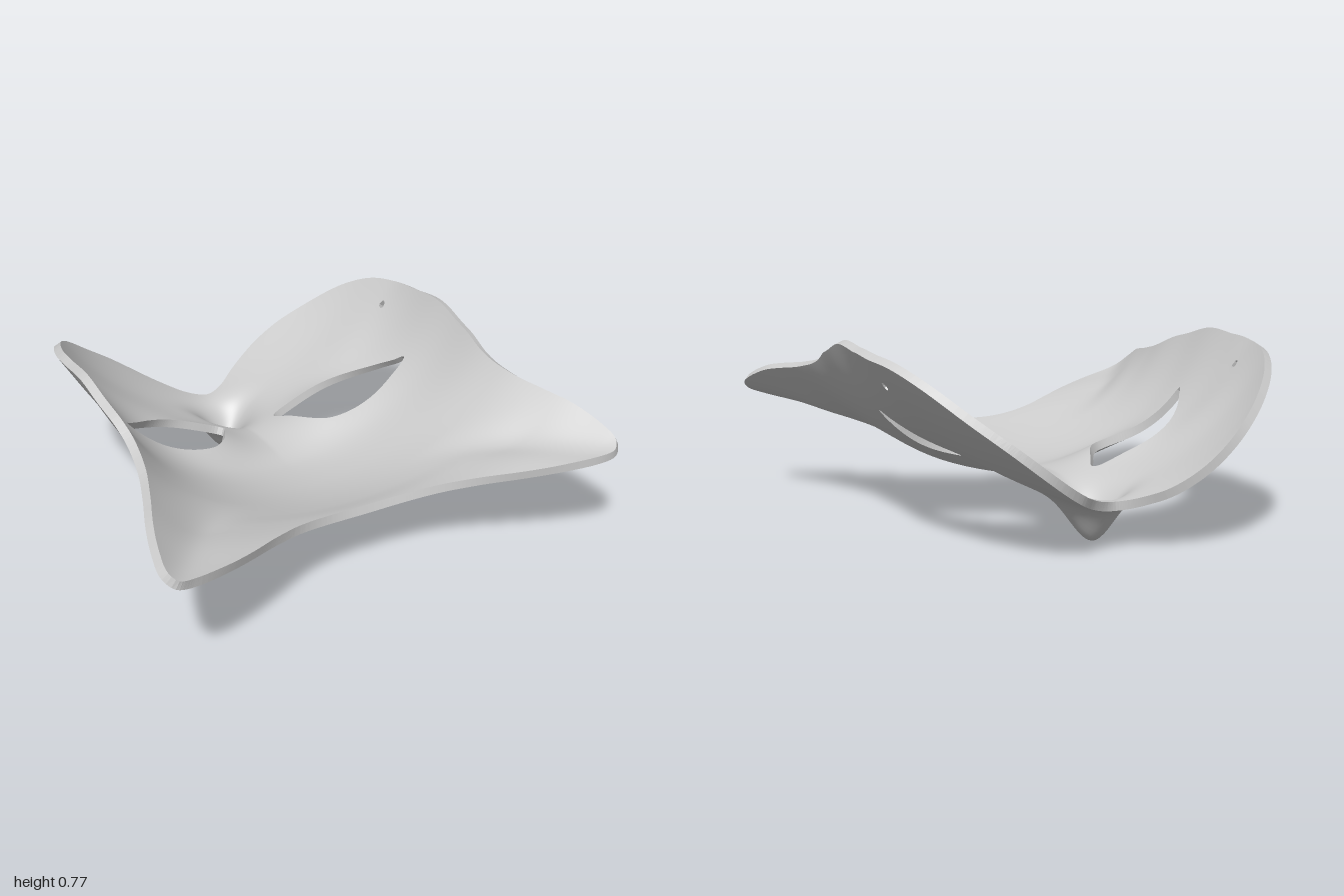
import * as THREE from 'three';

const THICKNESS = 0.035;
const STEP = 0.0133;

// Cross-section rows along z: [z, centre height, x^2 term, x^6 term, |x| term]
const ROWS = [
  [-0.97, 0.15, 0.5, 0.5, 0.4], [-0.85, 0.155, 0.5, 0.45, 0.295],
  [-0.7, 0.16, 0.53, 0.33, 0.19], [-0.5, 0.17, 0.55, 0.22, 0.115],
  [-0.35, 0.175, 0.52, 0.36, 0.06], [-0.15, 0.175, 0.52, 0.48, 0.01],
  [0, 0.165, 0.52, 0.48, 0], [0.2, 0.18, 0.48, 0.46, 0],
  [0.35, 0.208, 0.42, 0.33, 0], [0.5, 0.25, 0.33, 0.21, 0],
  [0.61, 0.29, 0.24, 0.17, 0], [0.75, 0.325, 0.17, 0.11, 0],
  [0.9, 0.343, 0.12, 0.08, 0], [0.98, 0.35, 0.11, 0.06, 0],
];
const section = new THREE.CubicInterpolant(
  new Float32Array(ROWS.map((r) => r[0])), new Float32Array(ROWS.flatMap((r) => r.slice(1))), 4);

const gauss = (d, s) => Math.exp(-(d * d) / (2 * s * s));

// Height of the underside (outer face) at a point of the plan
function height(x, z) {
  const [c, a, b, e] = section.evaluate(Math.min(0.979, Math.max(-0.969, z)));
  const ax = Math.abs(x);
  let y = c + a * x * x + b * x ** 6 + e * (Math.sqrt(x * x + 0.01) - 0.1);
  // nose: long bridge, steep underside
  const dz = z + 0.635;
  const width = dz > 0 ? 0.085 - 0.05 * Math.min(dz, 0.5) : 0.085;
  y -= 0.162 * gauss(x, width) * gauss(dz, dz > 0 ? 0.105 : 0.058);
  // recessed eye sockets
  y += 0.07 * gauss(ax - 0.3, 0.14) * gauss(z + 0.26, 0.12);
  // gutter running out to each corner tip
  const across = (ax - 0.92) * 0.8 - (z - 0.88) * 0.6;
  y -= 0.035 * THREE.MathUtils.smoothstep(z, 0.35, 0.65) * gauss(across, 0.075);
  return y;
}

// Upward normal; a wider sample d gives a smoother direction
function normalAt(x, z, d) {
  return new THREE.Vector3(
    (height(x - d, z) - height(x + d, z)) / (2 * d), 1,
    (height(x, z - d) - height(x, z + d)) / (2 * d)).normalize();
}

const smoothLoop = (pts, n) => new THREE.CatmullRomCurve3(
  pts.map(([x, z]) => new THREE.Vector3(x, 0, z)), true).getPoints(n);

// Plan outline, right half mirrored
const HALF = [
  [0, -0.825], [0.1, -0.86], [0.2, -0.925], [0.33, -0.963], [0.46, -0.948], [0.6, -0.875],
  [0.72, -0.765], [0.8, -0.63], [0.845, -0.47], [0.855, -0.3], [0.857, -0.1], [0.845, 0.1],
  [0.835, 0.25], [0.86, 0.42], [0.91, 0.58], [0.96, 0.72], [0.99, 0.84], [0.995, 0.92],
  [0.96, 0.958], [0.88, 0.945], [0.75, 0.895], [0.6, 0.82], [0.45, 0.735], [0.3, 0.66],
  [0.15, 0.62], [0, 0.61],
];
const OUTLINE = smoothLoop(
  [...HALF, ...HALF.slice(1, -1).reverse().map(([x, z]) => [-x, z])], 260);
const EYE = smoothLoop([
  [0.16, -0.393], [0.25, -0.4], [0.4, -0.395], [0.52, -0.345], [0.62, -0.26], [0.67, -0.195],
  [0.7, -0.15], [0.62, -0.144], [0.5, -0.137], [0.36, -0.142], [0.28, -0.165],
  [0.22, -0.22], [0.175, -0.3], [0.14, -0.375],
], 120);

// Signed distance to a closed loop, positive inside
function inside(loop, x, z) {
  let best = Infinity, sign = -1;
  for (let i = 0; i < loop.length - 1; i++) {
    const a = loop[i], b = loop[i + 1];
    const ex = b.x - a.x, ez = b.z - a.z;
    const t = THREE.MathUtils.clamp(((x - a.x) * ex + (z - a.z) * ez) / (ex * ex + ez * ez || 1), 0, 1);
    best = Math.min(best, Math.hypot(x - a.x - t * ex, z - a.z - t * ez));
    if ((a.z > z) !== (b.z > z) && x < a.x + ((z - a.z) / ez) * ex) sign = -sign;
  }
  return sign * best;
}

// Positive where there is material: outline minus eyes and strap holes
function material(x, z) {
  const ax = Math.abs(x);
  const strap = Math.hypot(ax - 0.775, (z + 0.465) * 0.75) - 0.012;
  return Math.min(inside(OUTLINE, x, z), -inside(EYE, ax, z), strap);
}

// Keep the part of a triangle that holds material, noting the cut edge
function clip(tri) {
  const poly = [], cut = [];
  tri.forEach((p, i) => {
    const q = tri[(i + 1) % 3];
    if (p.f > 0) poly.push(p);
    if ((p.f > 0) !== (q.f > 0)) {
      const t = p.f / (p.f - q.f);
      const m = { x: p.x + t * (q.x - p.x), z: p.z + t * (q.z - p.z) };
      poly.push(m);
      cut[p.f > 0 ? 0 : 1] = m;
    }
  });
  return { poly, cut };
}

export function createModel() {
  const group = new THREE.Group();
  const grey = new THREE.MeshStandardMaterial({ color: 0xcccccc });
  const inner = { pos: [], nor: [] }, outer = { pos: [], nor: [] }, rim = { pos: [] };

  // The inner face is the outer face offset along its normal
  const low = (p) => [p.x, height(p.x, p.z), p.z];
  const high = (p) => normalAt(p.x, p.z, 0.05).multiplyScalar(THICKNESS)
    .add(new THREE.Vector3(...low(p))).toArray();
  const addFaces = (a, b, c) => {
    for (const p of [a, b, c]) {
      inner.pos.push(...high(p));
      inner.nor.push(...normalAt(p.x, p.z, 0.01).toArray());
    }
    for (const p of [a, c, b]) {
      outer.pos.push(...low(p));
      outer.nor.push(...normalAt(p.x, p.z, 0.01).negate().toArray());
    }
  };

  // Plan grid
  const nx = Math.ceil(2.04 / STEP), nz = Math.ceil(1.98 / STEP);
  const grid = [];
  for (let i = 0; i <= nx; i++) {
    grid.push([]);
    for (let j = 0; j <= nz; j++) {
      const x = (i - nx / 2) * STEP, z = (j - nz / 2) * STEP;
      grid[i].push({ x, z, f: material(x, z) });
    }
  }

  // Both faces of the shell and the rim around every opening
  for (let i = 0; i < nx; i++) for (let j = 0; j < nz; j++) {
    const a = grid[i][j], b = grid[i][j + 1], c = grid[i + 1][j + 1], d = grid[i + 1][j];
    for (const tri of [[a, b, c], [a, c, d]]) {
      const { poly, cut } = clip(tri);
      for (let k = 1; k < poly.length - 1; k++) addFaces(poly[0], poly[k], poly[k + 1]);
      if (cut.length === 2) {
        const [p, q] = cut;
        rim.pos.push(...low(p), ...low(q), ...high(q), ...low(p), ...high(q), ...high(p));
      }
    }
  }

  for (const [name, part] of Object.entries({ innerFace: inner, outerFace: outer, rim })) {
    const geo = new THREE.BufferGeometry();
    geo.setAttribute('position', new THREE.Float32BufferAttribute(part.pos, 3));
    if (part.nor) geo.setAttribute('normal', new THREE.Float32BufferAttribute(part.nor, 3));
    else geo.computeVertexNormals();
    const mesh = new THREE.Mesh(geo, grey);
    mesh.name = name;
    group.add(mesh);
  }
  group.name = 'faceMask';
  return group;
}
